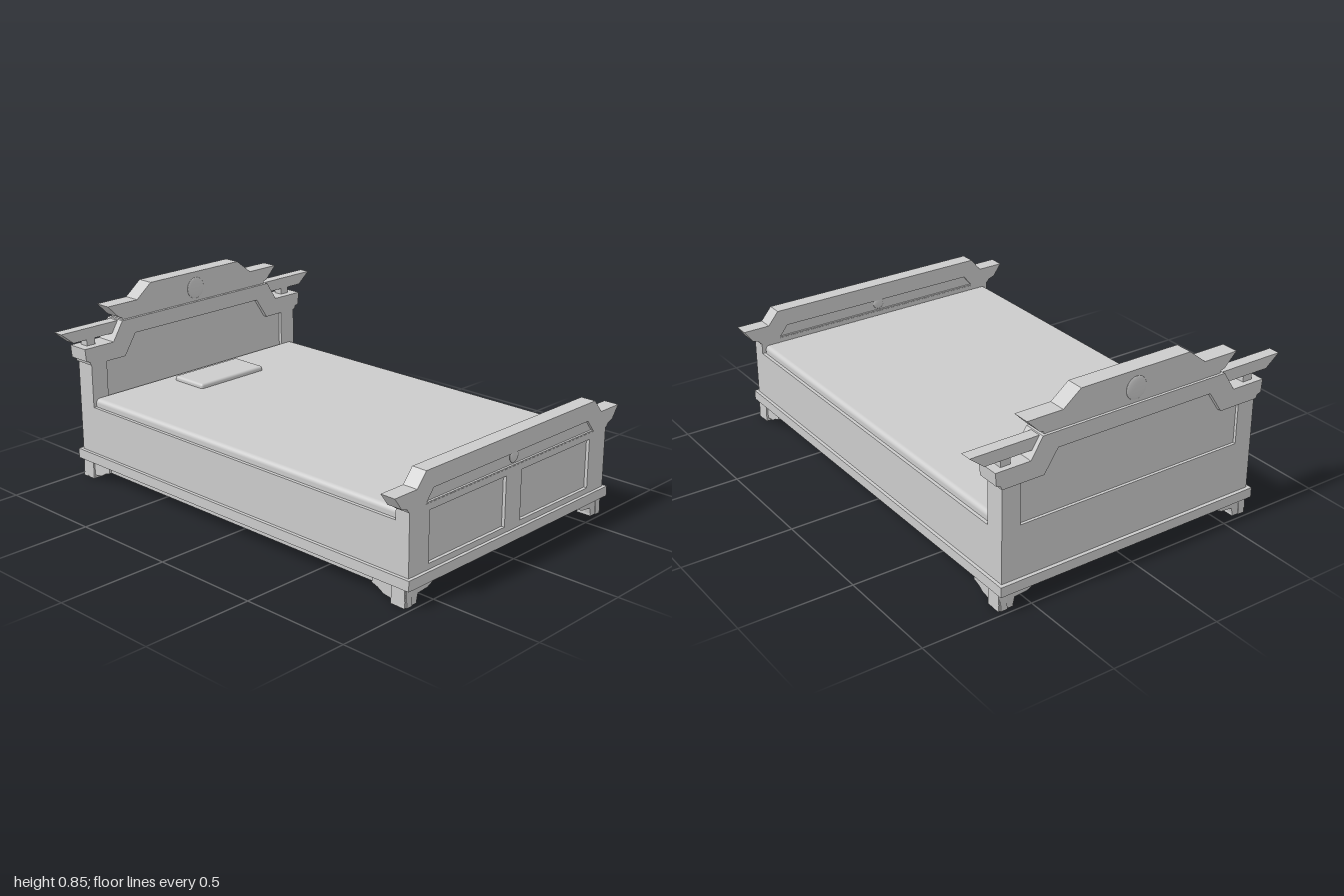
import * as THREE from 'three';
import { RoundedBoxGeometry } from 'three/addons/geometries/RoundedBoxGeometry.js';

const grey = new THREE.MeshStandardMaterial({ color: 0xcccccc, flatShading: true });
const soft = new THREE.MeshStandardMaterial({ color: 0xcccccc });

export function createModel() {
  const model = new THREE.Group();

  const add = (name, geometry, x = 0, y = 0, z = 0, material = grey, parent = model) => {
    const mesh = new THREE.Mesh(geometry, material);
    mesh.name = name;
    mesh.position.set(x, y, z);
    parent.add(mesh);
    return mesh;
  };
  // Box given by its limits on each axis
  const box = (name, x0, x1, y0, y1, z0, z1) =>
    add(name, new THREE.BoxGeometry(x1 - x0, y1 - y0, z1 - z0), (x0 + x1) / 2, (y0 + y1) / 2, (z0 + z1) / 2);
  const vecs = (pts) => pts.map(([x, y]) => new THREE.Vector2(x, y));
  // Closed outline from its right half, listed bottom to top
  const mirrored = (half) => vecs([...half, ...half.map(([x, y]) => [-x, y]).reverse()]);
  // Board in the xy plane between z0 and z1, with optional holes
  const board = (name, points, z0, z1, holes = []) => {
    const shape = new THREE.Shape(points);
    holes.forEach((h) => shape.holes.push(new THREE.Path(h)));
    return add(name, new THREE.ExtrudeGeometry(shape, { depth: z1 - z0, bevelEnabled: false }), 0, 0, z0);
  };

  // Base moulding: an open ring under the whole bed
  const rect = (x0, x1, y0, y1) => vecs([[x0, y0], [x1, y0], [x1, y1], [x0, y1]]);
  const ring = new THREE.Shape(rect(-0.645, 0.645, -1, 1));
  ring.holes.push(new THREE.Path(rect(-0.57, 0.57, -0.93, 0.93)));
  const ringGeo = new THREE.ExtrudeGeometry(ring, { depth: 0.045, bevelEnabled: false });
  ringGeo.rotateX(-Math.PI / 2);
  add('baseMoulding', ringGeo, 0, 0.08, 0);

  // Body, side rails and mattress
  box('bedBody', -0.63, 0.63, 0.115, 0.345, -0.95, 0.95);
  for (const s of [-1, 1]) {
    const inner = s * 0.59, outer = s * 0.62;
    box('lowerSideRail', Math.min(inner, outer), Math.max(inner, outer), 0.05, 0.085, -0.92, 0.92);
  }
  add('mattress', new RoundedBoxGeometry(1.23, 0.09, 1.83, 3, 0.02), 0, 0.337, 0.01, soft);

  // Pillow: a slab whose upper face bulges gently
  const pillow = new RoundedBoxGeometry(0.385, 0.03, 0.19, 4, 0.012);
  add('pillow', pillow, -0.003, 0.388, -0.745, soft);

  // Feet with brackets running along both directions
  const bracketX = vecs([[0.64, 0], [0.63, 0.085], [0.43, 0.085], [0.43, 0.08],
    [0.465, 0.065], [0.505, 0.045], [0.562, 0.04], [0.572, 0]]);
  const bracketZ = vecs([[0.98, 0], [0.975, 0.085], [0.8, 0.085], [0.8, 0.05],
    [0.83, 0.04], [0.86, 0.022], [0.905, 0.015], [0.905, 0]]);
  for (const sx of [-1, 1]) {
    for (const sz of [-1, 1]) {
      const foot = new THREE.Group();
      foot.name = 'foot';
      const gx = new THREE.ExtrudeGeometry(new THREE.Shape(bracketX), { depth: 0.03, bevelEnabled: false });
      gx.rotateY(sx < 0 ? Math.PI : 0);
      gx.translate(0, 0, sx < 0 ? 0.03 : 0);
      add('endBracket', gx, 0, 0, sz > 0 ? 0.945 : -0.975, grey, foot);
      const gz = new THREE.ExtrudeGeometry(new THREE.Shape(bracketZ), { depth: 0.03, bevelEnabled: false });
      gz.rotateY(sz > 0 ? -Math.PI / 2 : Math.PI / 2);
      gz.translate(sz > 0 ? 0.03 : 0, 0, 0);
      add('sideBracket', gz, sx > 0 ? 0.6 : -0.63, 0, 0, grey, foot);
      // Tapered block at the corner
      const block = new THREE.CylinderGeometry(0.066 / Math.SQRT2, 0.07 / Math.SQRT2, 0.085, 4);
      block.rotateY(Math.PI / 4);
      add('footBlock', block, sx * 0.604, 0.0425, sz * 0.94, grey, foot);
      model.add(foot);
    }
  }

  // Footboard: panelled lower part and flared cap
  const panelHole = (x0, x1) => rect(x0, x1, 0.15, 0.37);
  board('footboardFrame', rect(-0.63, 0.63, 0.12, 0.405), 0.965, 0.985,
    [panelHole(-0.515, -0.05), panelHole(0.05, 0.515)]);
  box('footboardCore', -0.63, 0.63, 0.12, 0.405, 0.917, 0.97);
  const capHole = mirrored([[0.54, 0.4], [0.495, 0.456]]);
  const capOutline = mirrored([[0.635, 0.395], [0.645, 0.41], [0.675, 0.42], [0.715, 0.475], [0.59, 0.475], [0.54, 0.535]]);
  board('footboardCapFront', capOutline, 0.975, 0.986, [capHole]);
  board('footboardCapBack', capOutline, 0.916, 0.926, [capHole]);
  board('footboardCapCore', capOutline, 0.926, 0.975);

  // Headboard: frame with a recessed panel on both faces
  const frameOutline = mirrored([[0.63, 0.12], [0.63, 0.6], [0.5, 0.6], [0.445, 0.7]]);
  const frameHole = mirrored([[0.545, 0.36], [0.545, 0.545], [0.445, 0.545], [0.38, 0.64]]);
  board('headboardFrontFrame', frameOutline, -0.905, -0.89, [frameHole]);
  board('headboardPanel', frameOutline, -0.97, -0.905);
  board('headboardBackFrame', frameOutline, -0.983, -0.97, [frameHole]);

  // Stepped moulding that follows the headboard's top
  const band = [[0.665, 0.625], [0.505, 0.625], [0.45, 0.712]];
  const under = [[0.378, 0.642], [0.442, 0.545], [0.635, 0.545], [0.64, 0.56], [0.66, 0.568]];
  board('headboardMoulding', mirrored([...under, ...band]), -0.99, -0.886);

  // Side wings resting on short blocks
  for (const s of [-1, 1]) {
    const pts = [[0.45, 0.655], [0.7, 0.655], [0.765, 0.708], [0.45, 0.708]].map(([x, y]) => [s * x, y]);
    board('wing', vecs(s > 0 ? pts : pts.reverse()), -0.97, -0.918);
    box('wingBlock', s * 0.602 - 0.023, s * 0.602 + 0.023, 0.62, 0.66, -0.965, -0.923);
  }

  // Crown with flared eaves
  board('crown', mirrored([[0.435, 0.705], [0.44, 0.722], [0.458, 0.728], [0.517, 0.787], [0.35, 0.787], [0.268, 0.852]]),
    -0.978, -0.9);

  // Shallow relief bosses on crown and footboard cap
  const boss = (name, radius, y, z) => {
    const g = new THREE.SphereGeometry(radius, 24, 12);
    g.scale(1, 1, 0.006 / radius);
    add(name, g, 0, y, z, soft);
  };
  boss('crownBoss', 0.05, 0.775, -0.9);
  boss('crownBoss', 0.05, 0.775, -0.978);
  boss('footboardBoss', 0.028, 0.44, 0.98);
  boss('footboardBoss', 0.028, 0.44, 0.922);

  return model;
}
